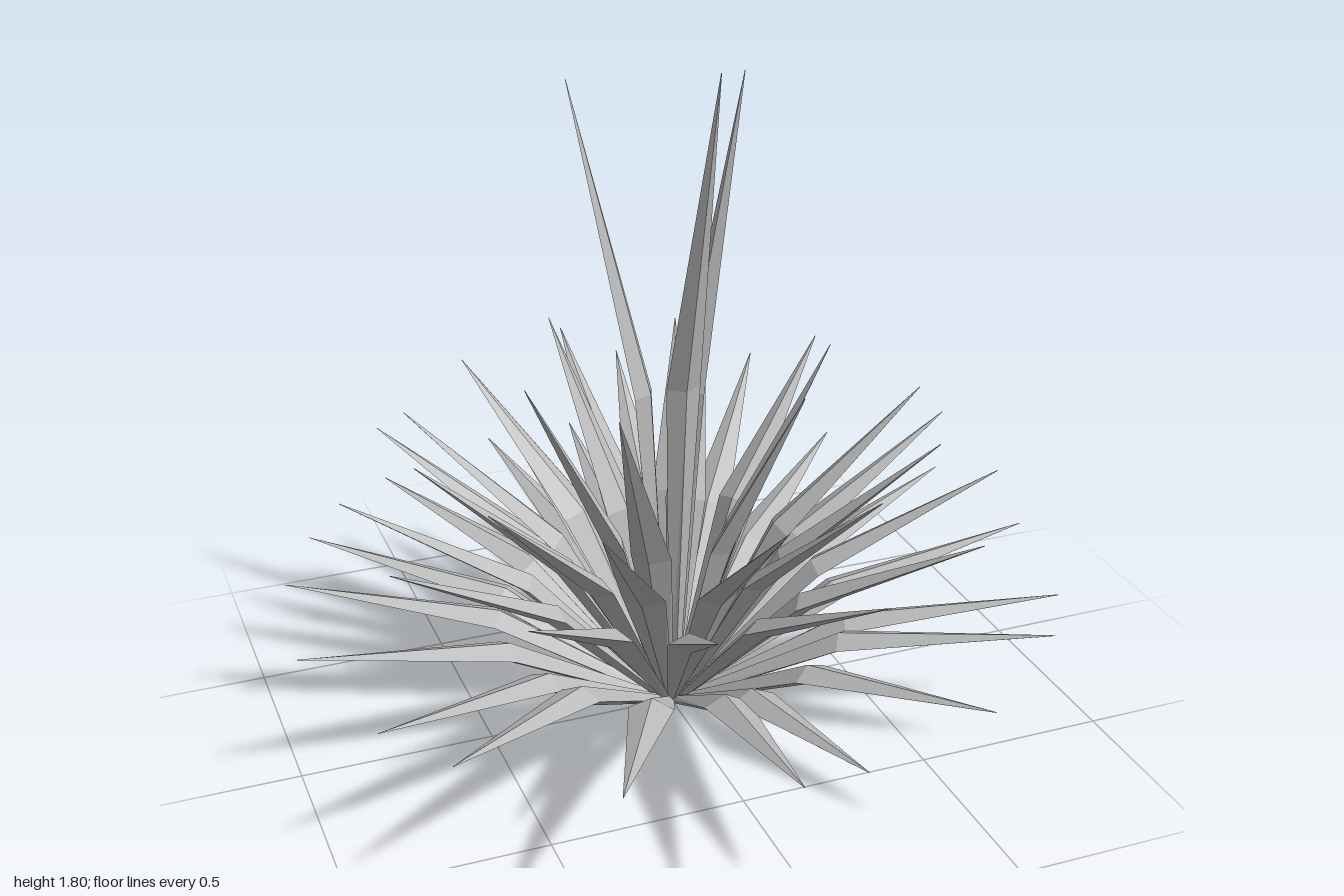
import * as THREE from 'three';

const leafGrey = new THREE.MeshStandardMaterial({ color: 0xbcbcbc, flatShading: true });
leafGrey.name = 'leafGrey';

// Leaf pointing to +x: a four-sided spike from base, through a wide bend, to a sharp tip.
// bend and tip are [radius, height].
function leafGeometry(bend, tip, width, thickness) {
  const rows = [
    { c: [0.018, 0.01], w: 0.012, t: 0.01 },
    { c: bend, w: width, t: thickness },
    { c: tip, w: 0.001, t: 0.001 },
  ];
  const geometry = new THREE.CylinderGeometry(1, 1, 2, 4, 2).toNonIndexed();
  const p = geometry.attributes.position;
  // leaf direction, used to tilt the cross-sections
  const length = Math.hypot(...tip);
  const dx = tip[0] / length, dy = tip[1] / length;
  for (let i = 0; i < p.count; i++) {
    const row = rows[Math.round(p.getY(i)) + 1];
    const n = p.getX(i) * row.t;
    p.setXYZ(i, row.c[0] + n * dy, row.c[1] - n * dx, p.getZ(i) * row.w);
  }
  geometry.computeVertexNormals();
  return geometry;
}

// Rings of leaves, outermost first; angles in degrees from +x towards +z
const rings = [
  { name: 'groundLeaf', bend: [0.46, 0.265], tip: [1.0, 0.38], width: 0.056, thickness: 0.025,
    angles: [4, 27, 39, 62, 85, 94, 117, 140, 153, 176, 198, 213, 236, 258, 273, 296, 319, 341] },
  { name: 'lowerLeaf', bend: [0.38, 0.4], tip: [0.84, 0.67], width: 0.056, thickness: 0.025,
    angles: [19, 48, 75, 104, 133, 162, 190, 221, 250, 280, 307, 353] },
  { name: 'middleLeaf', bend: [0.3, 0.475], tip: [0.68, 0.83], width: 0.056, thickness: 0.025,
    angles: [4, 34, 65, 88, 124, 149, 176, 204, 235, 264, 292, 327] },
  { name: 'upperLeaf', bend: [0.17, 0.52], tip: [0.41, 1.0], width: 0.054, thickness: 0.025,
    angles: [10, 60, 128, 170, 240, 304] },
  { name: 'tallLeaf', bend: [0.085, 0.95], tip: [0.31, 1.8], width: 0.045, thickness: 0.024,
    angles: [90] },
  { name: 'sideTallLeaf', bend: [0.08, 0.88], tip: [0.29, 1.67], width: 0.043, thickness: 0.023,
    angles: [229, 330] },
];

export function createModel() {
  const plant = new THREE.Group();
  plant.name = 'spikyPlant';
  for (const ring of rings) {
    const geometry = leafGeometry(ring.bend, ring.tip, ring.width, ring.thickness);
    const group = new THREE.Group();
    group.name = ring.name + 'Ring';
    for (const angle of ring.angles) {
      const leaf = new THREE.Mesh(geometry, leafGrey);
      leaf.name = ring.name;
      leaf.rotation.y = -THREE.MathUtils.degToRad(angle);
      group.add(leaf);
    }
    plant.add(group);
  }
  return plant;
}
